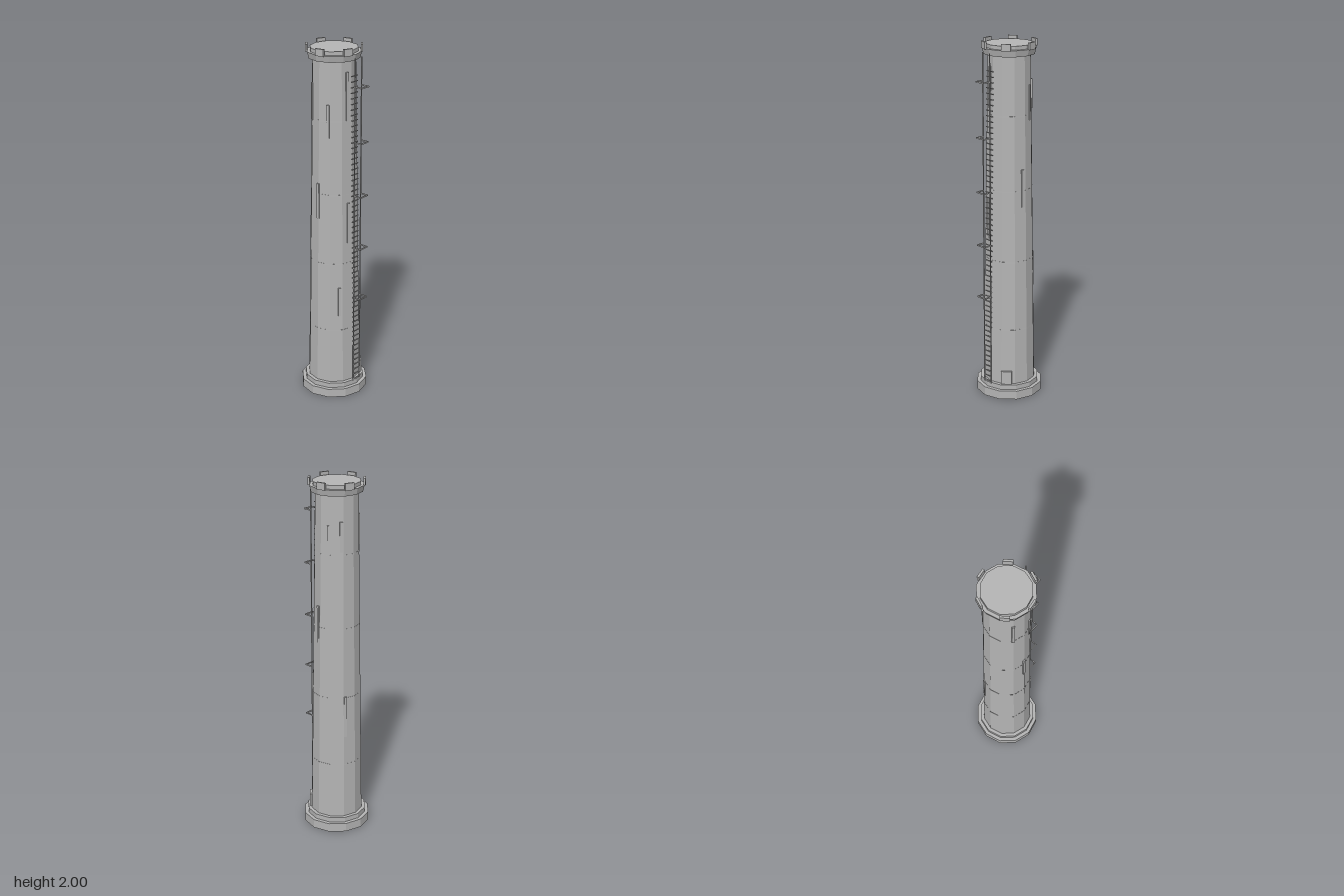
import * as THREE from 'three';

export function createModel() {
  const model = new THREE.Group();
  model.name = 'tower';
  const stone = new THREE.MeshStandardMaterial({ color: 0xb4b4b4, flatShading: true });
  stone.name = 'grey stone';

  const tower = new THREE.Group();
  tower.name = 'towerBody';
  tower.position.z = -0.0125;
  model.add(tower);

  const SIDES = 12, Y0 = 0.075, Y1 = 1.93, R0 = 0.147, R1 = 0.117;
  const radiusAt = (y) => R0 + (R1 - R0) * (y - Y0) / (Y1 - Y0);

  function add(parent, name, geometry, x = 0, y = 0, z = 0) {
    const mesh = new THREE.Mesh(geometry, stone);
    mesh.name = name;
    mesh.position.set(x, y, z);
    parent.add(mesh);
    return mesh;
  }
  // Twelve-sided drum between two heights
  function drum(name, top, bottom, y0, y1) {
    return add(tower, name, new THREE.CylinderGeometry(top, bottom, y1 - y0, SIDES), 0, (y0 + y1) / 2, 0);
  }
  // Box set around the axis, facing outward; angle runs from +x towards +z
  function radialBox(name, degrees, r, y0, y1, width, depth) {
    const a = THREE.MathUtils.degToRad(degrees);
    const box = add(tower, name, new THREE.BoxGeometry(width, y1 - y0, depth),
      r * Math.cos(a), (y0 + y1) / 2, r * Math.sin(a));
    box.rotation.y = Math.PI / 2 - a;
    return box;
  }
  // Distance from the axis to the flat-sided wall
  function wallAt(degrees, y) {
    const local = ((degrees % 30) + 30) % 30 - 15;
    const rad = THREE.MathUtils.degToRad;
    return radiusAt(y) * Math.cos(rad(15)) / Math.cos(rad(local));
  }

  // Stepped footing and tapered shaft
  drum('footing', 0.1875, 0.1875, 0, 0.05);
  drum('footingStep', 0.167, 0.167, 0.05, 0.078);
  drum('shaft', R1, R0, Y0, Y1);
  for (const y of [0.4, 0.8, 1.2, 1.61]) {
    drum('seamBand', radiusAt(y) + 0.0006, radiusAt(y) + 0.0008, y - 0.003, y + 0.003);
  }

  // Flared crown, raised deck and merlons
  drum('crown', 0.1475, 0.139, 1.93, 1.965);
  drum('deck', 0.129, 0.129, 1.965, 1.985);
  for (let i = 0; i < 6; i++) {
    radialBox('merlon', -10 + i * 60, 0.145, 1.962, 2, 0.05, 0.012);
  }

  // Door
  radialBox('door', 49, 0.145, 0.075, 0.155, 0.06, 0.016);

  // Narrow slits: angle, lower and upper height
  const slits = [
    [-23, 1.58, 1.77], [-55, 1.63, 1.79], [8, 1.11, 1.32], [104, 1.61, 1.87], [103, 0.92, 1.15],
    [-64, 0.57, 0.81], [127, 0.49, 0.66], [155, 1.52, 1.70], [181, 1.06, 1.26], [211, 1.60, 1.80],
  ];
  for (const [angle, y0, y1] of slits) {
    radialBox('slit', angle, wallAt(angle, (y0 + y1) / 2), y0, y1, 0.016, 0.0095);
  }

  // Ladder: upright rails, rungs following the wall
  const ladder = new THREE.Group();
  ladder.name = 'ladder';
  model.add(ladder);
  for (const s of [-1, 1]) {
    add(ladder, 'rail', new THREE.BoxGeometry(0.005, 1.875, 0.005), s * 0.0265, 1.0125, 0.152);
  }
  const RUNGS = 60;
  const rung = new THREE.BoxGeometry(0.05, 0.005, 0.005);
  for (let i = 0; i < RUNGS; i++) {
    const t = i / (RUNGS - 1);
    add(ladder, 'rung', rung, 0, 0.085 + 1.765 * t, 0.151 - 0.025 * t);
  }

  // Square safety hoops
  const hoopSide = new THREE.BoxGeometry(0.005, 0.007, 0.05);
  const hoopFront = new THREE.BoxGeometry(0.062, 0.007, 0.005);
  for (const y of [0.6, 0.9, 1.2, 1.5, 1.8]) {
    for (const s of [-1, 1]) add(ladder, 'hoopSide', hoopSide, s * 0.0285, y, 0.175);
    add(ladder, 'hoopFront', hoopFront, 0, y, 0.1975);
  }
  return model;
}
